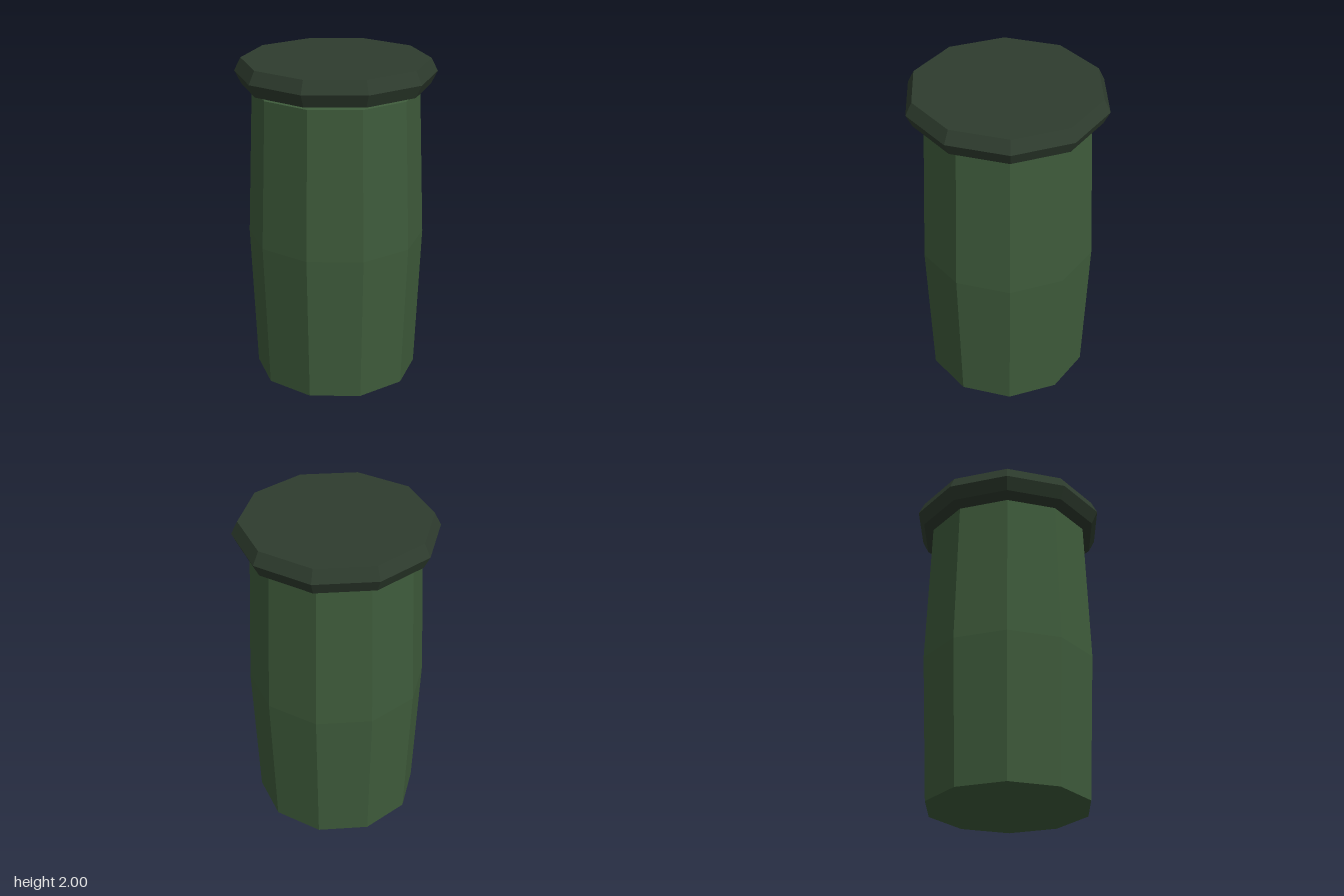
import * as THREE from 'three';

const bodyGreen = new THREE.MeshStandardMaterial({ color: 0x3e5b3b, flatShading: true });
bodyGreen.name = 'body green';
const lidGreen = new THREE.MeshStandardMaterial({ color: 0x2e3c2e, flatShading: true });
lidGreen.name = 'dark lid green';

// Ten-sided turned part from [radius, height] pairs, with corners on the x axis
function turned(name, profile, material) {
  const points = profile.map(([r, y]) => new THREE.Vector2(r, y));
  const mesh = new THREE.Mesh(new THREE.LatheGeometry(points, 10, Math.PI / 2), material);
  mesh.name = name;
  return mesh;
}

export function createModel() {
  const model = new THREE.Group();
  model.name = 'lidded barrel';

  // Bulging body with shallow pointed ends
  model.add(turned('body', [
    [0, 0], [0.485, 0.065], [0.52, 0.94], [0.485, 1.815], [0, 1.88],
  ], bodyGreen));

  // Overhanging lid with a bevelled rim and a barely raised top
  model.add(turned('lid', [
    [0, 1.84], [0.545, 1.845], [0.582, 1.92], [0.545, 1.995], [0, 2],
  ], lidGreen));

  return model;
}
